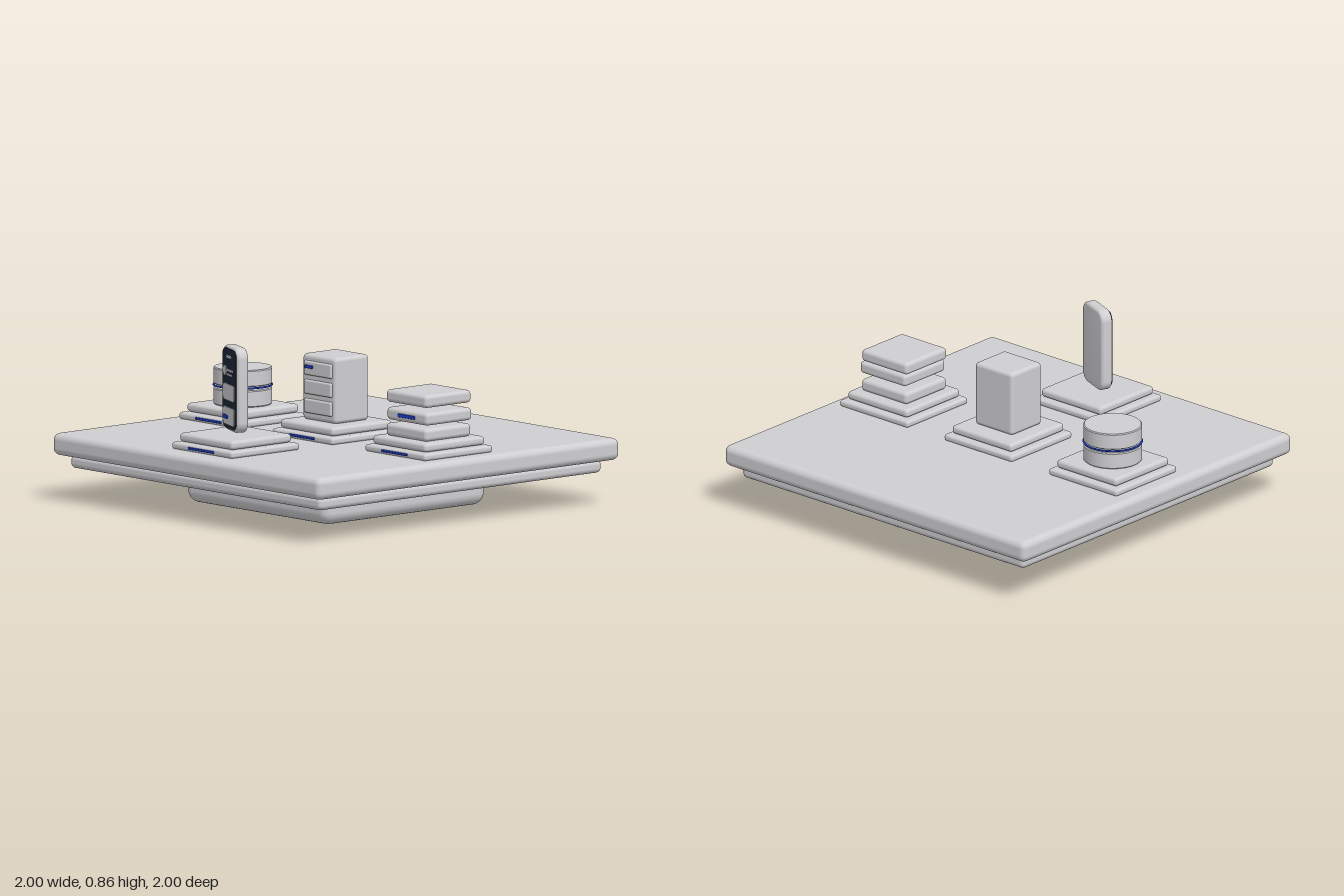
import * as THREE from 'three';
import { RoundedBoxGeometry } from 'three/addons/geometries/RoundedBoxGeometry.js';
import { toCreasedNormals } from 'three/addons/utils/BufferGeometryUtils.js';

const material = (name, color) => {
  const m = new THREE.MeshStandardMaterial({ color });
  m.name = name;
  return m;
};

export function createModel() {
  const body = material('light grey', 0xcfcfd2);
  const blue = material('accent blue', 0x1e40d0);
  const dark = material('screen dark', 0x1e2836);

  const model = new THREE.Group();
  model.name = 'displayPlatform';

  const group = (name, parent, x = 0, y = 0, z = 0) => {
    const g = new THREE.Group();
    g.name = name;
    g.position.set(x, y, z);
    parent.add(g);
    return g;
  };
  const add = (name, parent, geometry, mat, x, y, z) => {
    const mesh = new THREE.Mesh(geometry, mat);
    mesh.name = name;
    mesh.position.set(x, y, z);
    parent.add(mesh);
    return mesh;
  };
  // Rounded box given by its size, centre and edge radius
  const block = (name, parent, [w, h, d], [x, y, z], r, mat = body) =>
    add(name, parent, new RoundedBoxGeometry(w, h, d, 4, r), mat, x, y, z);

  // Rounded-corner plate facing +z, centred on its own middle
  const plate = (w, h, d, r, bevel = 0) => {
    const a = w / 2 - bevel, b = h / 2 - bevel, c = r - bevel;
    const s = new THREE.Shape();
    s.moveTo(-a + c, -b);
    s.lineTo(a - c, -b);
    s.absarc(a - c, -b + c, c, -Math.PI / 2, 0);
    s.absarc(a - c, b - c, c, 0, Math.PI / 2);
    s.absarc(-a + c, b - c, c, Math.PI / 2, Math.PI);
    s.absarc(-a + c, -b + c, c, Math.PI, Math.PI * 1.5);
    const g = new THREE.ExtrudeGeometry(s, {
      depth: d - 2 * bevel, curveSegments: 8,
      bevelEnabled: bevel > 0, bevelSize: bevel, bevelThickness: bevel, bevelSegments: 4,
    });
    g.translate(0, 0, -d / 2 + bevel);
    return toCreasedNormals(g, 0.7);
  };

  // Stepped platform
  block('foot', model, [1.07, 0.16, 1.07], [0, 0.08, 0], 0.06);
  block('lowerDeck', model, [1.87, 0.065, 1.87], [0, 0.197, 0], 0.025);
  block('upperDeck', model, [2, 0.11, 2], [0, 0.284, 0], 0.035);

  // Pedestal with two tiles and an accent strip; its local origin is the deck surface
  const pedestal = (name, x, z) => {
    const g = group(name, model, x, 0.339, z);
    block('lowerTile', g, [0.452, 0.035, 0.452], [0, 0.0165, 0], 0.014);
    block('upperTile', g, [0.398, 0.044, 0.398], [0, 0.058, 0], 0.018);
    block('accentStrip', g, [0.19, 0.012, 0.012], [0, 0.017, 0.228], 0.004, blue);
    return group(name + 'Exhibit', g, 0, 0.08, 0);
  };

  // Twin drums with a ring floating between them
  const drums = pedestal('drumPedestal', -0.695, 0);
  const drumGeometry = toCreasedNormals(new THREE.LatheGeometry([
    [0, 0], [0.141, 0], [0.146, 0.005], [0.146, 0.079], [0.141, 0.084], [0, 0.084],
  ].map(([r, y]) => new THREE.Vector2(r, y)), 56), 0.5);
  add('lowerDrum', drums, drumGeometry, body, 0, 0, 0);
  add('upperDrum', drums, drumGeometry, body, 0, 0.102, 0);
  add('drumRing', drums, new THREE.TorusGeometry(0.145, 0.005, 8, 56), blue, 0, 0.096, 0)
    .rotation.x = Math.PI / 2;

  // Cabinet with three drawers
  const cabinet = pedestal('cabinetPedestal', 0, 0);
  block('cabinetBody', cabinet, [0.25, 0.33, 0.224], [-0.002, 0.165, 0], 0.02);
  for (let i = 0; i < 3; i++) {
    block('drawer', cabinet, [0.205, 0.072, 0.025], [-0.002, 0.072 + i * 0.095, 0.112], 0.01);
  }
  block('drawerLight', cabinet, [0.055, 0.016, 0.01], [-0.06, 0.27, 0.127], 0.004, blue);

  // Offset stack of slabs
  const stack = pedestal('stackPedestal', 0.692, 0);
  [[0, 0.031, 0.002], [0.023, 0.115, 0.017], [-0.014, 0.196, -0.012]].forEach((position) =>
    block('stackSlab', stack, [0.304, 0.063, 0.304], position, 0.02));
  block('slabLight', stack, [0.125, 0.018, 0.01], [0.025, 0.115, 0.17], 0.004, blue);

  // Turned handset with a screen layout
  const phone = pedestal('handsetPedestal', 0, 0.665);
  phone.position.y += 0.224;
  phone.rotation.y = -0.385;
  add('handsetCase', phone, plate(0.222, 0.425, 0.06, 0.055, 0.014), body, 0, 0, 0);
  add('screen', phone, plate(0.2, 0.4, 0.006, 0.045), dark, 0, 0, 0.031);
  const onScreen = (name, w, h, x, y, r, mat = body, z = 0.036) =>
    add(name, phone, plate(w, h, 0.006, r), mat, x, y, z);
  onScreen('statusPill', 0.066, 0.015, 0, 0.16, 0.007);
  onScreen('upperTextBar', 0.086, 0.012, 0.016, 0.092, 0.005);
  onScreen('lowerTextBar', 0.07, 0.01, 0.006, 0.07, 0.004);
  onScreen('upperCard', 0.16, 0.082, 0, -0.018, 0.014);
  onScreen('lowerCard', 0.16, 0.088, 0, -0.137, 0.014);
  onScreen('cardButton', 0.066, 0.02, -0.038, -0.143, 0.009, blue, 0.04);
  add('avatarDot', phone, new THREE.CylinderGeometry(0.025, 0.025, 0.006, 16), body, -0.058, 0.086, 0.036)
    .rotation.x = Math.PI / 2;

  return model;
}
